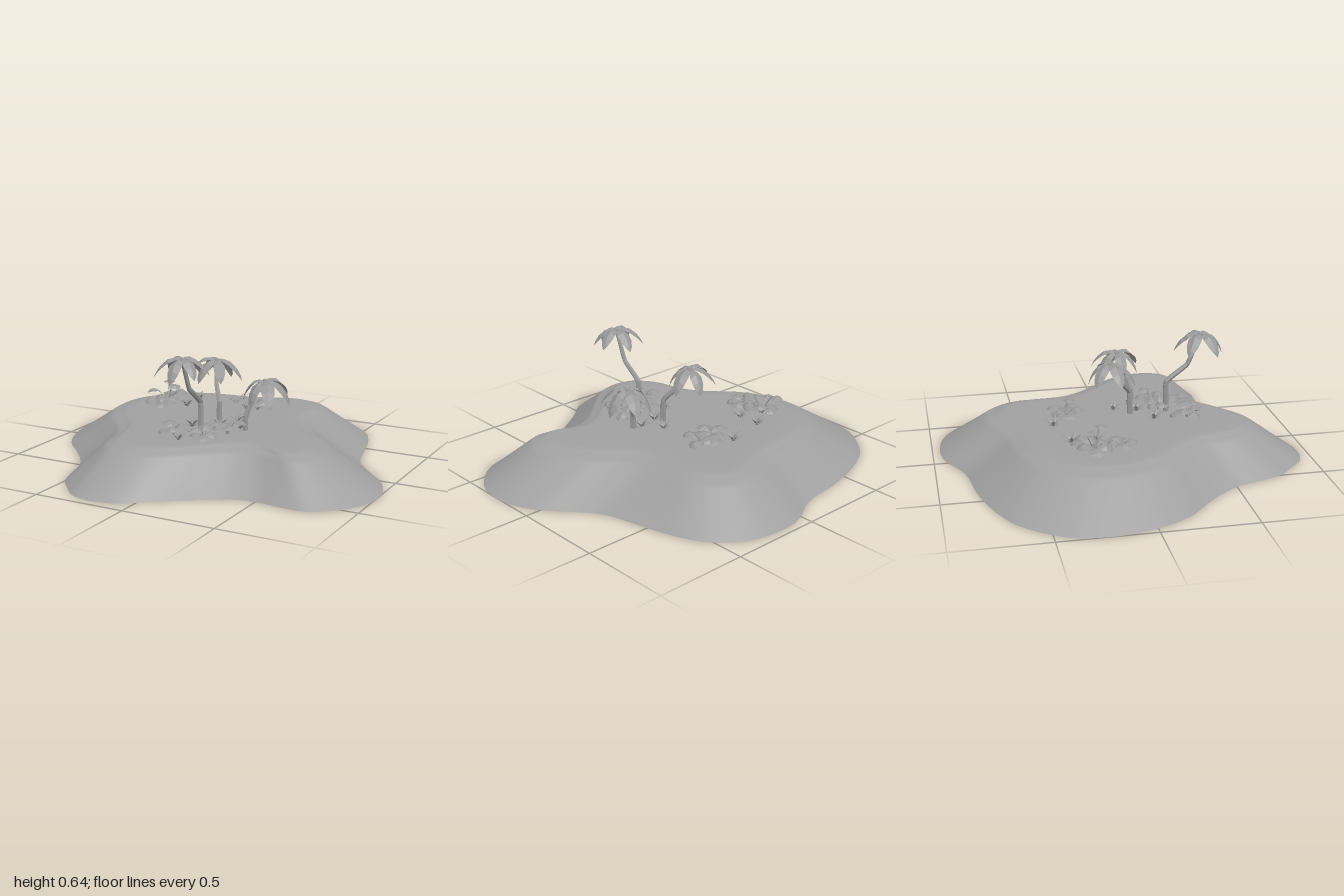
import * as THREE from 'three';

const sandMat = new THREE.MeshStandardMaterial({ color: 0xa0a0a0, side: THREE.DoubleSide });
const plantMat = new THREE.MeshStandardMaterial({ color: 0x989898, side: THREE.DoubleSide, flatShading: true });

let seed = 7;
const rnd = () => (seed = (seed * 16807) % 2147483647) / 2147483647;

// Shoreline and plateau edge, paired point by point as [x, z]
const SHORE = [
  [0.18, -0.96], [0.37, -0.92], [0.52, -0.8], [0.6, -0.64], [0.645, -0.48], [0.71, -0.25], [0.8, -0.13],
  [0.93, 0.02], [1, 0.2], [0.985, 0.38], [0.88, 0.53], [0.77, 0.6], [0.64, 0.605], [0.5, 0.59],
  [0.35, 0.625], [0.21, 0.72], [0.06, 0.82], [-0.06, 0.92], [-0.2, 0.955], [-0.33, 0.93], [-0.42, 0.85],
  [-0.5, 0.76], [-0.55, 0.63], [-0.58, 0.52], [-0.65, 0.41], [-0.76, 0.29], [-0.87, 0.18], [-0.96, 0],
  [-1, -0.2], [-0.985, -0.38], [-0.93, -0.5], [-0.8, -0.65], [-0.68, -0.72], [-0.55, -0.77],
  [-0.4, -0.81], [-0.15, -0.85], [0.03, -0.94],
];
const PLATEAU = [
  [0.13, -0.63], [0.22, -0.62], [0.29, -0.56], [0.33, -0.48], [0.33, -0.38], [0.33, -0.23], [0.39, -0.11],
  [0.52, 0.03], [0.61, 0.18], [0.625, 0.29], [0.6, 0.36], [0.54, 0.38], [0.46, 0.35], [0.37, 0.325],
  [0.26, 0.35], [0.16, 0.43], [0.06, 0.53], [-0.06, 0.61], [-0.17, 0.635], [-0.26, 0.61], [-0.31, 0.56],
  [-0.34, 0.49], [-0.355, 0.41], [-0.375, 0.34], [-0.42, 0.26], [-0.49, 0.18], [-0.56, 0.1], [-0.62, -0.02],
  [-0.64, -0.16], [-0.62, -0.28], [-0.58, -0.35], [-0.5, -0.44], [-0.42, -0.485], [-0.34, -0.515],
  [-0.25, -0.53], [-0.1, -0.55], [0.04, -0.6],
];

// Open island shell: rings go from the shore to the plateau edge, then to the centre
function island() {
  const n = 37 * 4;
  const [shore, edge] = [SHORE, PLATEAU].map(pts =>
    new THREE.CatmullRomCurve3(pts.map(([x, z]) => new THREE.Vector3(x, 0, z)), true).getPoints(n));
  // [blend from shore to edge, scale, height]
  const rings = [[0, 1, 0], [0.4, 1, 0.09], [0.72, 1, 0.164], [0.77, 1, 0.174], [0.83, 1, 0.18], [0.93, 1, 0.187],
    [0.97, 1, 0.195], [1, 0.98, 0.2], [1, 0.9, 0.201], [1, 0.5, 0.201], [1, 0, 0.201]];
  const pos = [], index = [], v = new THREE.Vector3();
  rings.forEach(([t, s, y], r) => {
    for (let i = 0; i < n; i++) {
      v.lerpVectors(shore[i], edge[i], t).multiplyScalar(s);
      pos.push(v.x, y, v.z);
      if (r === rings.length - 1) continue;
      const a = r * n + i, b = r * n + (i + 1) % n;
      index.push(a, a + n, b);
      if (r < rings.length - 2) index.push(b, a + n, b + n);
    }
  });
  const geo = new THREE.BufferGeometry();
  geo.setAttribute('position', new THREE.Float32BufferAttribute(pos, 3));
  geo.setIndex(index);
  geo.computeVertexNormals();
  const mesh = new THREE.Mesh(geo, sandMat);
  mesh.name = 'island';
  return mesh;
}

// Leaf along +x with a raised midrib; stations are [distance, height, half width]
function leafGeometry(stations, fold) {
  const geo = new THREE.PlaneGeometry(1, 1, 2, stations.length - 1);
  const p = geo.attributes.position;
  stations.forEach(([x, y, w], r) => {
    for (let c = 0; c < 3; c++) p.setXYZ(r * 3 + c, x, y - (c === 1 ? 0 : w * fold), (c - 1) * w);
  });
  geo.computeVertexNormals();
  return geo;
}

const frondGeo = leafGeometry([[0, 0, 0.008], [0.035, 0.012, 0.024], [0.075, 0.001, 0.038],
  [0.11, -0.034, 0.034], [0.132, -0.07, 0.021], [0.145, -0.105, 0.002]], 0.45);
const broadGeo = leafGeometry([[0, 0, 0.006], [0.015, 0.012, 0.034], [0.04, 0.02, 0.048],
  [0.068, 0.012, 0.04], [0.086, -0.006, 0.014]], 0.35);
const spikeGeo = leafGeometry([[0, 0, 0.003], [0.03, 0.022, 0.011], [0.07, 0.028, 0.001]], 0.3);

function leaf(geo, name, yaw, tilt, scale) {
  const m = new THREE.Mesh(geo, plantMat);
  m.name = name;
  m.rotation.set(0, yaw, tilt, 'YZX');
  m.scale.setScalar(scale);
  return m;
}

// Tapering tube through a few points; low tension keeps its kinks
function stem(points, r0, r1, sides, name) {
  const path = new THREE.CatmullRomCurve3(points.map(q => new THREE.Vector3(...q)), false, 'catmullrom', 0.15);
  const segs = 14;
  const geo = new THREE.TubeGeometry(path, segs, 1, sides, false);
  const p = geo.attributes.position, v = new THREE.Vector3();
  for (let i = 0; i < p.count; i++) {
    const t = Math.floor(i / (sides + 1)) / segs, c = path.getPointAt(t);
    v.fromBufferAttribute(p, i).sub(c).multiplyScalar(r0 + (r1 - r0) * t).add(c);
    p.setXYZ(i, v.x, v.y, v.z);
  }
  const m = new THREE.Mesh(geo, plantMat);
  m.name = name;
  return m;
}

function palm(trunk, yaw, scale) {
  const g = new THREE.Group();
  g.name = 'palm';
  g.add(stem(trunk, 0.017, 0.011, 6, 'trunk'));
  const crown = new THREE.Group();
  crown.name = 'crown';
  crown.position.set(...trunk[trunk.length - 1]);
  for (let i = 0; i < 6; i++) {
    crown.add(leaf(frondGeo, 'frond', yaw + i * Math.PI / 3 + (rnd() - 0.5) * 0.25,
      (rnd() - 0.5) * 0.35, scale * (0.85 + rnd() * 0.2)));
  }
  const heart = new THREE.Mesh(new THREE.SphereGeometry(0.016, 6, 4), plantMat);
  heart.name = 'crownHeart';
  crown.add(heart);
  g.add(crown);
  return g;
}

// Broad-leaved bush: low domed rosette, with optional taller stalks carrying one leaf each
function bush(x, z, scale, stalks) {
  const g = new THREE.Group();
  g.name = 'bush';
  g.position.set(x, 0.2, z);
  const yaw = rnd() * 6;
  for (let i = 0; i < 5; i++) {
    const a = yaw + i * Math.PI * 0.4;
    const l = leaf(broadGeo, 'broadLeaf', a, (rnd() - 0.5) * 0.5, scale * (0.85 + rnd() * 0.3));
    const h = 0.02 + rnd() * 0.025, d = 0.014 * scale;
    l.position.set(Math.cos(a) * d, h, -Math.sin(a) * d);
    g.add(l, stem([[0, -0.008, 0], [l.position.x * 0.6, h * 0.6, l.position.z * 0.6], l.position.toArray()],
      0.004, 0.003, 4, 'leafStem'));
  }
  for (const [dx, dz, h] of stalks) {
    g.add(stem([[0, -0.008, 0], [dx * 0.35, h * 0.6, dz * 0.35], [dx * 0.6, h, dz * 0.6]], 0.004, 0.003, 4, 'stalk'));
    const l = leaf(broadGeo, 'stalkLeaf', Math.atan2(-dz, dx), -0.1, 0.75);
    l.position.set(dx * 0.6, h, dz * 0.6);
    g.add(l);
  }
  return g;
}

// Small spiky tuft
function tuft(x, z, scale) {
  const g = new THREE.Group();
  g.name = 'tuft';
  g.position.set(x, 0.198, z);
  for (let i = 0; i < 9; i++) {
    g.add(leaf(spikeGeo, 'blade', i * Math.PI * 2 / 9 + rnd() * 0.3, i % 2 ? 0.05 : 0.4, scale));
  }
  return g;
}

export function createModel() {
  const model = new THREE.Group();
  model.name = 'palmIsland';
  model.add(island());

  // Palms
  model.add(
    palm([[0.02, 0.19, 0.27], [0.02, 0.37, 0.27], [0.02, 0.46, 0.385], [0.02, 0.53, 0.415], [0.02, 0.625, 0.455]], 0.45, 0.97),
    palm([[0.02, 0.19, 0.07], [0.02, 0.33, 0.065], [-0.02, 0.39, 0.02], [-0.045, 0.45, -0.02], [-0.06, 0.515, -0.055]], 0.2, 0.94),
    palm([[0.2, 0.19, 0.11], [0.2, 0.27, 0.11], [0.225, 0.36, 0.08], [0.25, 0.41, 0.065], [0.285, 0.46, 0.05]], 0.1, 0.96),
  );

  // Bushes: x, z, size, stalks as [dx, dz, height]
  const bushes = [
    [-0.46, -0.21, 0.95, [[-0.09, 0.03, 0.065], [-0.04, -0.08, 0.1], [0.06, 0.04, 0.11], [0.1, 0.01, 0.07], [0.03, -0.1, 0.05]]],
    [-0.44, -0.07, 0.85, []],
    [0, -0.28, 0.8, [[-0.07, 0, 0.05]]],
    [0.07, -0.29, 0.95, [[0.05, 0.04, 0.06]]],
    [-0.09, 0.36, 0.9, []],
    [0.08, 0.36, 0.7, [[0.05, 0.02, 0.04]]],
    [0.15, 0.22, 0.85, [[0.05, -0.03, 0.06]]],
    [0.05, 0.23, 0.7, []],
  ];
  bushes.forEach(b => model.add(bush(...b)));

  // Tufts: x, z, size
  const tufts = [[-0.32, -0.31, 1], [-0.32, -0.18, 0.9], [-0.08, -0.37, 0.95], [0.09, -0.01, 0.85],
    [-0.08, 0.18, 1], [0.05, 0.11, 1], [0.16, 0.09, 0.95], [-0.02, 0.43, 0.8]];
  tufts.forEach(t => model.add(tuft(...t)));
  return model;
}
